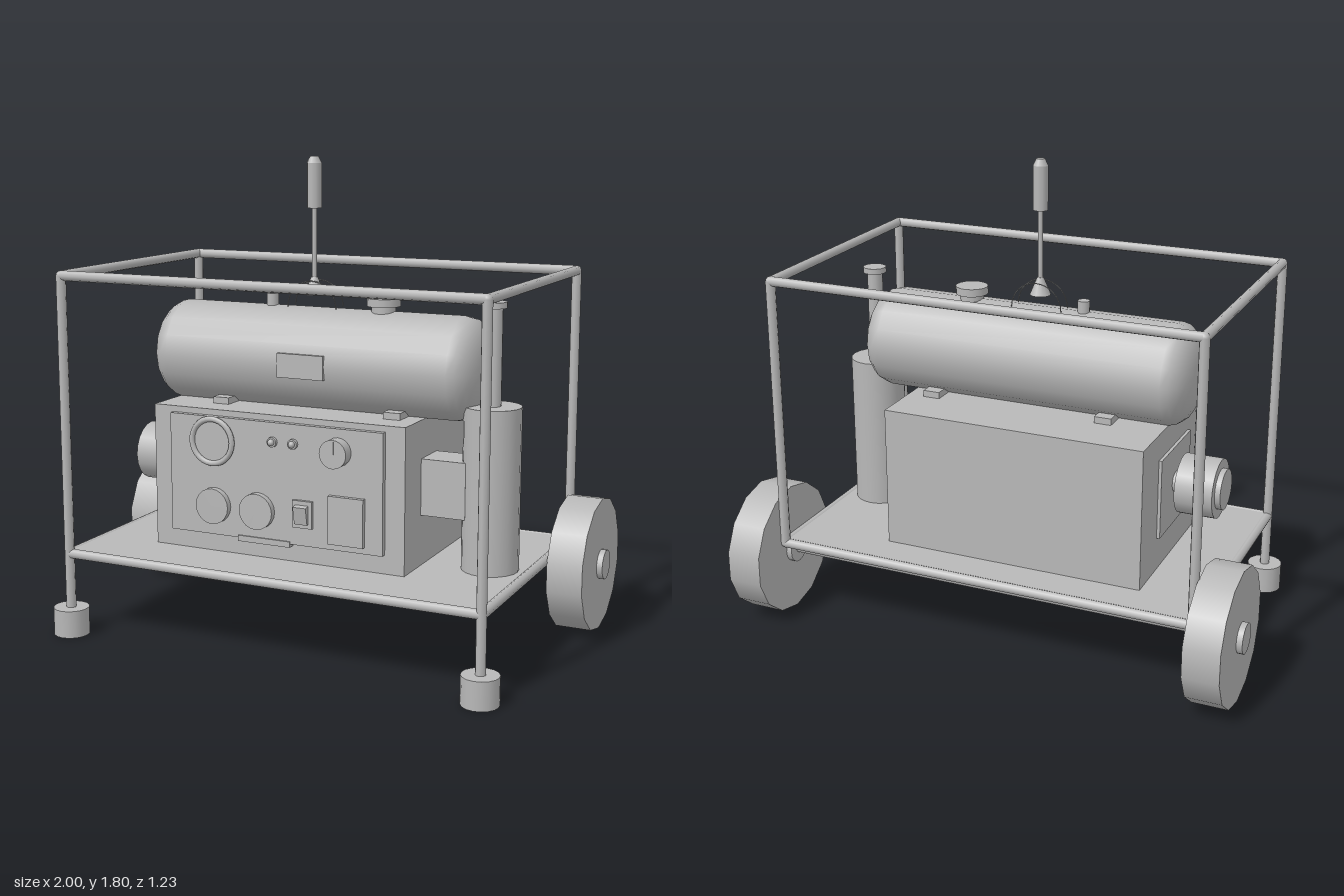
import * as THREE from 'three';

export function createModel() {
  const model = new THREE.Group();
  model.name = 'portableGenerator';
  const grey = new THREE.MeshStandardMaterial({ color: 0xb8b8b8 });
  grey.name = 'plain grey';

  const add = (name, geometry, x = 0, y = 0, z = 0) => {
    const mesh = new THREE.Mesh(geometry, grey);
    mesh.name = name;
    mesh.position.set(x, y, z);
    model.add(mesh);
    return mesh;
  };
  // Box given by its limits on each axis
  const box = (name, x0, x1, y0, y1, z0, z1) =>
    add(name, new THREE.BoxGeometry(x1 - x0, y1 - y0, z1 - z0),
      (x0 + x1) / 2, (y0 + y1) / 2, (z0 + z1) / 2);
  // Cylinders along each axis, from a to b
  const cylY = (name, r, a, b, x, z, n = 16, rTop = r) =>
    add(name, new THREE.CylinderGeometry(rTop, r, b - a, n), x, (a + b) / 2, z);
  const cylX = (name, r, a, b, y, z, n = 16) =>
    add(name, new THREE.CylinderGeometry(r, r, b - a, n).rotateZ(Math.PI / 2), (a + b) / 2, y, z);
  const cylZ = (name, r, a, b, x, y, n = 20, rFront = r) =>
    add(name, new THREE.CylinderGeometry(rFront, r, b - a, n).rotateX(Math.PI / 2), x, y, (a + b) / 2);

  // Tubular frame
  const FX = 0.826, ZF = 0.55, ZB = -0.443, R = 0.019, BASE = 0.315, TOP = 1.37;
  const railZ = (name, x, y) =>
    add(name, new THREE.CylinderGeometry(R, R, ZF - ZB, 8).rotateX(Math.PI / 2), x, y, (ZF + ZB) / 2);
  for (const y of [BASE, TOP]) {
    for (const z of [ZF, ZB]) {
      cylX('crossRail', R, -FX, FX, y, z, 8);
      for (const s of [-1, 1]) add('railJoint', new THREE.SphereGeometry(R, 8, 6), s * FX, y, z);
    }
    for (const s of [-1, 1]) railZ('sideRail', s * FX, y);
  }
  for (const s of [-1, 1]) {
    cylY('frontPost', R, 0.1, TOP, s * FX, ZF, 8);
    cylY('rearPost', R, BASE, TOP, s * FX, ZB, 8);
    cylY('foot', 0.068, 0, 0.105, s * FX, ZF, 16);
  }
  box('basePlate', -FX, FX, 0.31, 0.33, ZB, ZF);

  // Wheels on a rear axle
  const WY = 0.26, WZ = -0.362;
  cylX('axle', 0.019, -0.85, 0.85, WY, WZ, 8);
  for (const s of [-1, 1]) {
    const a = s > 0 ? 0.842 : -0.978;
    const wheel = cylX('wheel', 0.257, a, a + 0.136, WY, WZ, 14);
    wheel.geometry.rotateX(Math.PI / 2);
    cylX('wheelHub', 0.057, s > 0 ? 0.82 : -1, s > 0 ? 1 : -0.82, WY, WZ, 16);
  }

  // Engine housing, side plate and pulley
  box('engineHousing', -0.578, 0.45, 0.325, 0.873, -0.298, 0.32);
  box('sidePlate', -0.59, -0.577, 0.46, 0.77, -0.12, 0.22);
  cylX('pulleyShaft', 0.04, -0.63, -0.58, 0.625, 0.05);
  cylX('pulley', 0.114, -0.765, -0.62, 0.625, 0.05, 20);
  cylX('pulleyCap', 0.078, -0.786, -0.76, 0.625, 0.05, 20);

  // Control panel
  const P = 0.342;
  box('controlPanel', -0.497, 0.374, 0.4, 0.85, 0.31, P);
  box('panelLatch', -0.21, 0.005, 0.388, 0.41, 0.31, 0.348);
  cylZ('mainGaugeFace', 0.085, P, 0.357, -0.31, 0.76, 24);
  add('mainGaugeRim', new THREE.TorusGeometry(0.084, 0.011, 8, 28), -0.31, 0.76, 0.358);
  for (const x of [-0.31, -0.126]) cylZ('socket', 0.068, P, 0.367, x, 0.513);
  for (const x of [-0.064, 0.02]) {
    cylZ('indicatorBezel', 0.019, P, 0.355, x, 0.778, 12);
    add('indicatorLamp', new THREE.SphereGeometry(0.013, 10, 8), x, 0.778, 0.357);
  }
  cylZ('controlKnob', 0.053, P, 0.388, 0.198, 0.765);
  box('knobPointer', 0.193, 0.203, 0.765, 0.812, 0.386, 0.391);
  box('switchBase', 0.02, 0.1, 0.47, 0.572, P, 0.355);
  const rocker = box('switchRocker', 0.034, 0.086, 0.487, 0.555, 0.35, 0.372);
  rocker.rotation.x = 0.2;
  box('outletCover', 0.166, 0.305, 0.425, 0.604, P, 0.36);

  // Fuel tank with domed ends
  const TY = 1.05, TZ = 0.053;
  const dome = [];
  for (let i = 0; i <= 5; i++) {
    const t = (i / 5) * Math.PI / 2;
    dome.push(new THREE.Vector2(0.193 * Math.pow(Math.sin(t), 0.8), -0.57 - 0.097 * Math.cos(t)));
  }
  const profile = [...dome, ...dome.slice().reverse().map(p => new THREE.Vector2(p.x, -p.y))];
  add('fuelTank', new THREE.LatheGeometry(profile, 16).rotateZ(Math.PI / 2), -0.005, TY, TZ);
  box('tankLabelPlate', -0.094, 0.094, 1.0, 1.09, 0.235, 0.25);
  for (const x of [-0.352, 0.35]) box('tankBracket', x - 0.033, x + 0.033, 0.87, 0.898, -0.107, 0.213);
  cylY('fillerNeck', 0.045, 1.22, 1.262, 0.248, TZ);
  cylY('fillerCap', 0.062, 1.26, 1.29, 0.248, TZ);
  cylY('tankVent', 0.023, 1.22, 1.285, -0.21, TZ, 12);

  // Lever with thin guide arcs
  const LX = -0.035;
  cylY('leverBoot', 0.04, 1.288, 1.355, LX, TZ, 12, 0.012);
  cylY('leverRod', 0.01, 1.33, 1.62, LX, TZ, 8);
  cylY('leverGrip', 0.028, 1.61, 1.775, LX, TZ, 10);
  cylY('leverGripTip', 0.028, 1.775, 1.8, LX, TZ, 10, 0.016);
  for (const s of [-1, 1])
    add('leverGuide', new THREE.TorusGeometry(0.1, 0.002, 4, 16, Math.PI), LX, 1.24, TZ - 0.008 + s * 0.032);

  // Exhaust muffler and stack
  const MX = 0.692, MZ = 0.095;
  box('exhaustDuct', 0.44, 0.62, 0.52, 0.73, 0.02, 0.17);
  cylY('muffler', 0.105, 0.325, 0.932, MX, MZ, 20);
  cylY('exhaustPipe', 0.03, 0.92, 1.29, MX, MZ, 12);
  cylY('exhaustCap', 0.045, 1.283, 1.305, MX, MZ, 12);

  return model;
}
